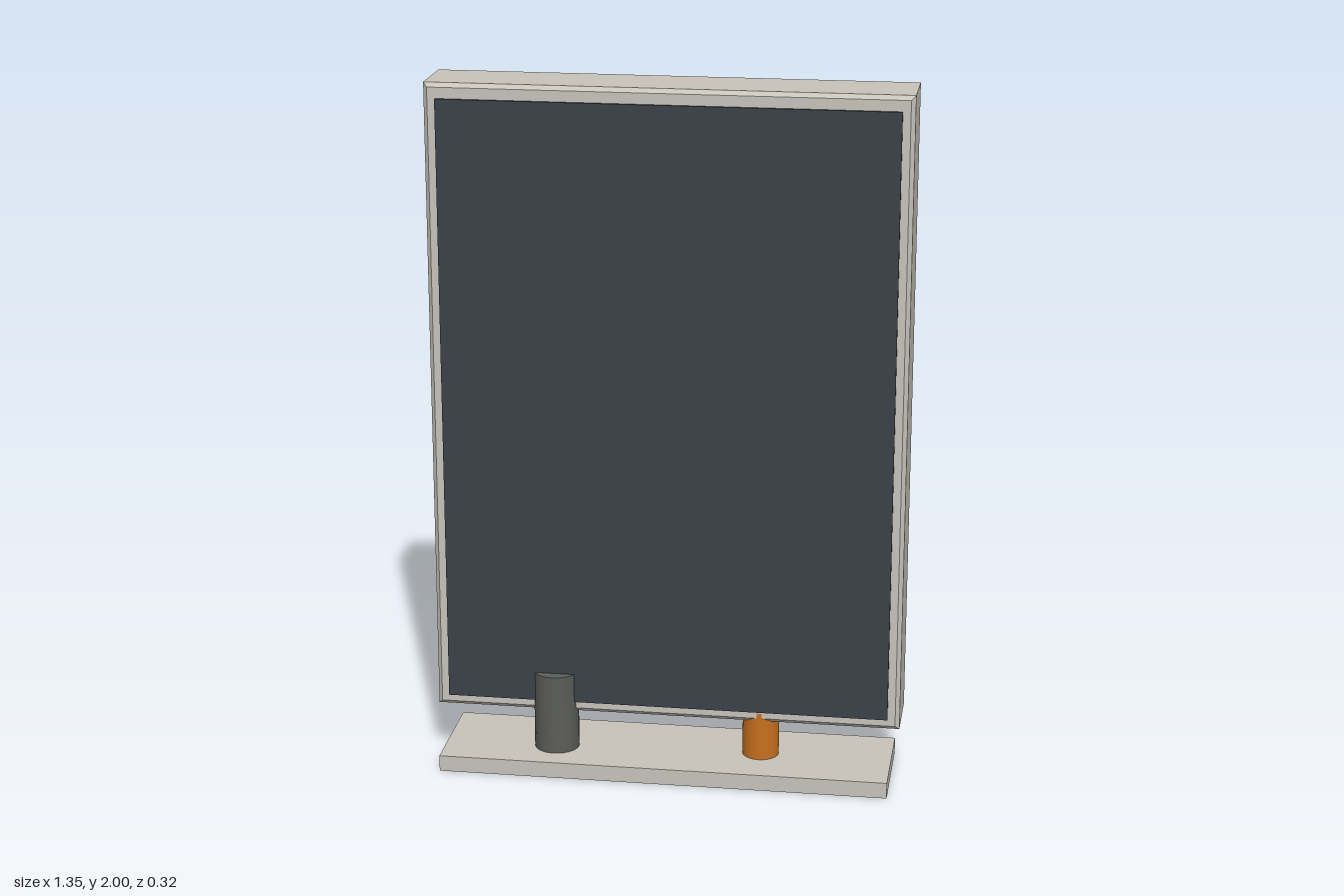
import * as THREE from 'three';

const material = (name, color) => {
  const m = new THREE.MeshStandardMaterial({ color });
  m.name = name;
  return m;
};

export function createModel() {
  const casing = material('warm grey casing', 0xc8c4bb);
  const glass = material('dark slate screen', 0x3c4149);
  const charcoal = material('charcoal post', 0x5b5d59);
  const orange = material('orange post', 0xc8701e);

  const model = new THREE.Group();
  model.name = 'displayPanel';

  const add = (name, geometry, mat, x, y, z) => {
    const mesh = new THREE.Mesh(geometry, mat);
    mesh.name = name;
    mesh.position.set(x, y, z);
    model.add(mesh);
  };

  // Flat foot plate
  add('basePlate', new THREE.BoxGeometry(1.3, 0.047, 0.322), casing, 0, 0.0235, 0);

  // Cabinet with chamfered front and back rims
  const bevel = 0.012, w = 1.348, h = 1.836, d = 0.213;
  const hw = w / 2 - bevel, hh = h / 2 - bevel;
  const outline = new THREE.Shape([
    new THREE.Vector2(-hw, -hh), new THREE.Vector2(hw, -hh),
    new THREE.Vector2(hw, hh), new THREE.Vector2(-hw, hh),
  ]);
  const cabinet = new THREE.ExtrudeGeometry(outline, {
    depth: d - 2 * bevel, bevelEnabled: true,
    bevelThickness: bevel, bevelSize: bevel, bevelSegments: 1,
  });
  add('cabinet', cabinet, casing, 0, 2 - h / 2, -0.161 + bevel);

  // Thin screen standing slightly proud of the cabinet
  add('screen', new THREE.BoxGeometry(1.28, 1.76, 0.009), glass, 0, 1.077, 0.0555);

  // Posts: the charcoal one rises past the bottom edge of the screen
  const post = (name, mat, r, top, x, z) =>
    add(name, new THREE.CylinderGeometry(r, r, top - 0.047, 24), mat, x, (top + 0.047) / 2, z);
  post('tallPost', charcoal, 0.065, 0.283, -0.326, 0.03);
  post('shortPost', orange, 0.053, 0.19, 0.27, 0);

  return model;
}
